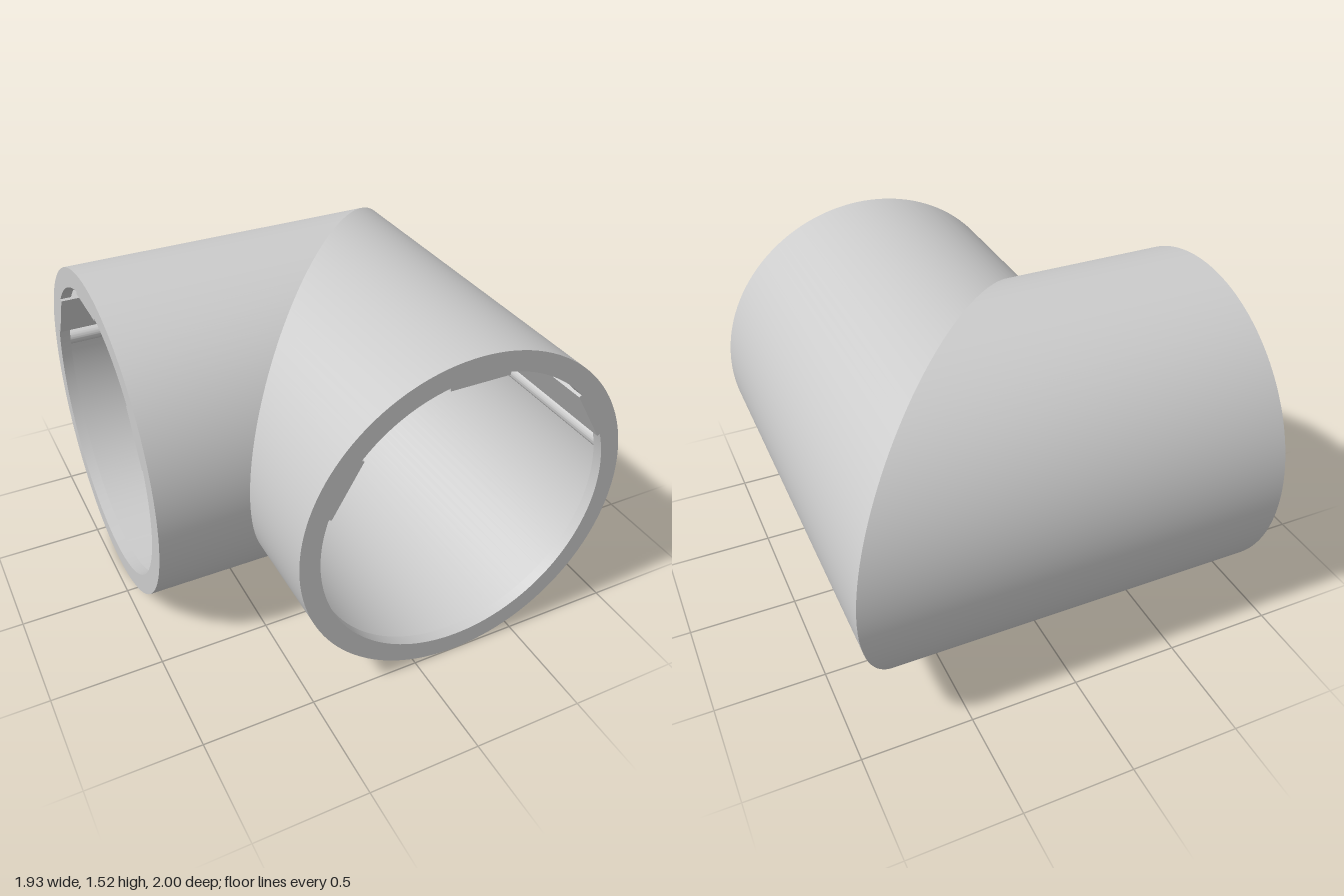
import * as THREE from 'three';
import { toCreasedNormals } from 'three/addons/utils/BufferGeometryUtils.js';

const OUTER = 0.7625, BORE = 0.725, LIP = 0.672, LIP_DEPTH = 0.05;
const material = new THREE.MeshStandardMaterial({ color: 0xcccccc });

function addMesh(group, name, geometry) {
  const mesh = new THREE.Mesh(toCreasedNormals(geometry, 0.6), material);
  mesh.name = name;
  group.add(mesh);
}

// Cut the z = 0 end along the 45 degree mitre plane z = slope * x
function mitre(geometry, slope) {
  const p = geometry.attributes.position;
  for (let i = 0; i < p.count; i++) {
    if (Math.abs(p.getZ(i)) < 1e-5) p.setZ(i, slope * p.getX(i));
  }
  return geometry;
}

function extrudeToMitre(shape, length, slope) {
  return mitre(new THREE.ExtrudeGeometry(shape, {
    depth: length, bevelEnabled: false, curveSegments: 24,
  }), slope);
}

// Flat panel inside the bore, facing the axis, at an angle around it
function panelShape(angle) {
  const c = Math.cos(angle), s = Math.sin(angle);
  const corners = [[0.645, -0.134], [0.735, -0.134], [0.735, 0.134], [0.645, 0.134]];
  return new THREE.Shape(corners.map(([r, t]) => new THREE.Vector2(r * c - t * s, r * s + t * c)));
}

function rodShape(angle) {
  const shape = new THREE.Shape();
  shape.absarc(0.71 * Math.cos(angle), 0.71 * Math.sin(angle), 0.036, 0, Math.PI * 2);
  return shape;
}

// One straight tunnel leg along +z, mitred at the origin
function tunnelLeg(name, length, slope) {
  const leg = new THREE.Group();
  leg.name = name;

  // Shell with a narrower lip at the open end
  const profile = [
    [OUTER, 0], [OUTER, length], [LIP, length],
    [LIP, length - LIP_DEPTH], [BORE, length - LIP_DEPTH], [BORE, 0],
  ].map(([r, y]) => new THREE.Vector2(r, y));
  const shell = new THREE.LatheGeometry(profile, 128).rotateX(Math.PI / 2);
  addMesh(leg, 'shell', mitre(shell, slope));

  // Ceiling panel and two wall panels
  const deg = THREE.MathUtils.degToRad;
  for (const [label, a] of [['ceilingPanel', 90], ['wallPanelLeft', 30], ['wallPanelRight', 150]]) {
    addMesh(leg, label, extrudeToMitre(panelShape(deg(a)), length, slope));
  }

  // Rods above and below each wall panel
  for (const a of [10.5, 49.8]) {
    for (const angle of [a, 180 - a]) {
      addMesh(leg, 'rod', extrudeToMitre(rodShape(deg(angle)), length - LIP_DEPTH, slope));
    }
  }
  return leg;
}

export function createModel() {
  const model = new THREE.Group();
  model.name = 'cornerTunnel';

  const front = tunnelLeg('frontLeg', 1.2375, -1);
  const side = tunnelLeg('sideLeg', 1.1675, 1);
  side.rotation.y = -Math.PI / 2;

  for (const leg of [front, side]) {
    leg.position.set(0.2025, OUTER, -0.2375);
    model.add(leg);
  }
  return model;
}
